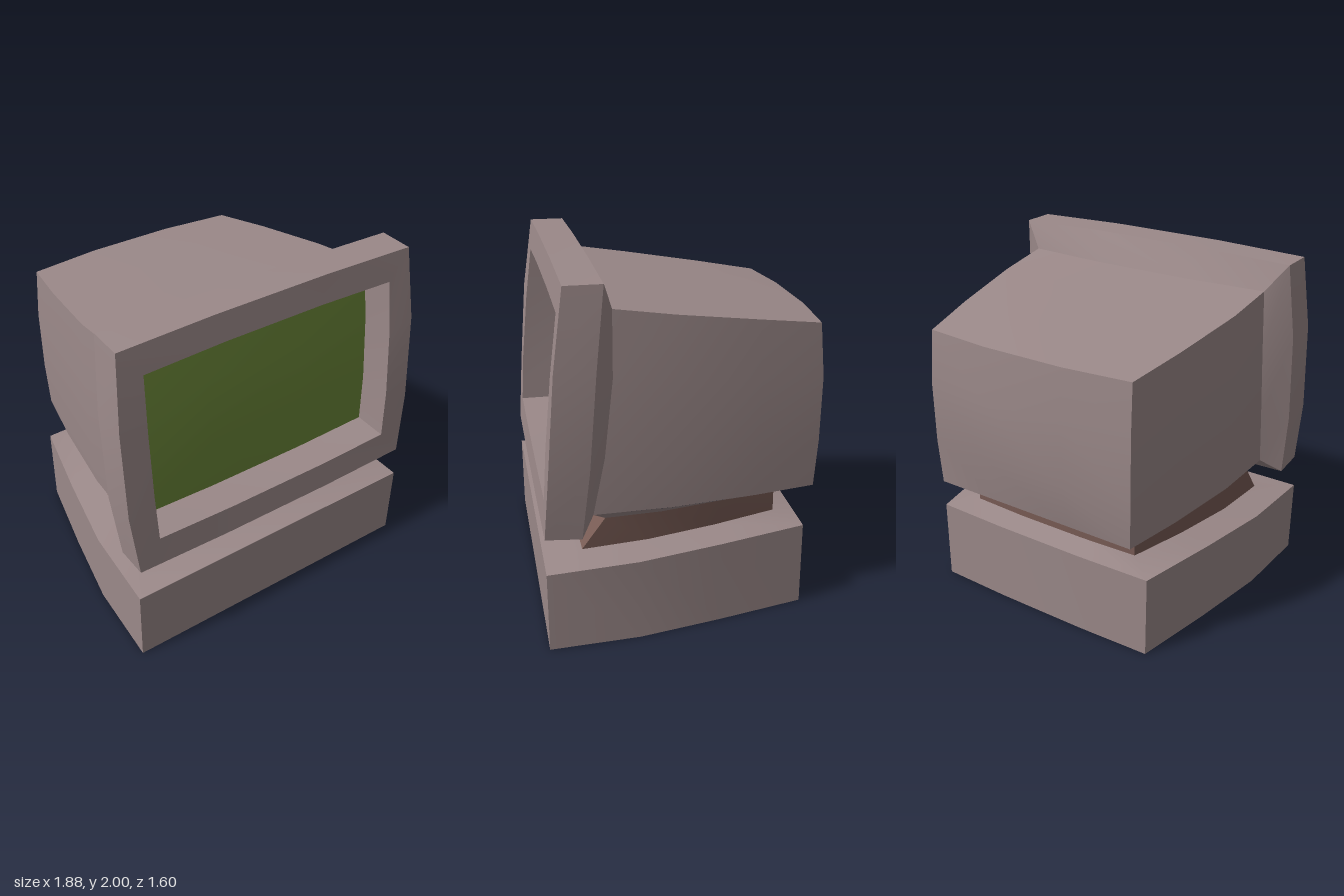
import * as THREE from 'three';
import { toCreasedNormals } from 'three/addons/utils/BufferGeometryUtils.js';

const U = [-1, -0.39, 0.39, 1]; // column positions across a section
const V = [0, 0.29, 0.68, 1];   // row positions up a section
// section border, counter-clockwise from the front: [column, row]
const BORDER = [[0, 0], [1, 0], [2, 0], [3, 0], [3, 1], [3, 2], [3, 3], [2, 3], [1, 3], [0, 3], [0, 2], [0, 1]];

// One barrel-shaped upright section as a 4 x 4 grid of points.
// z lists depth per row from bottom to top; bx, by, bz bulge the middles.
function section({ x, y0, y1, z, bx = 0, by = 0, bz = 0 }) {
  const mid = k => k === 1 || k === 2;
  return (i, j) => new THREE.Vector3(
    U[i] * (x + (mid(j) ? bx : 0)),
    y0 + (y1 - y0) * V[j] + (mid(i) && !mid(j) ? (j ? by : -by) : 0),
    z[j] + (mid(i) && j > 0 ? bz : 0));
}
const ring = s => BORDER.map(([i, j]) => s(i, j));

// One flat section seen from above: half widths and depths from front to back.
function planRing(xs, zs, yFront, yBack, bulge = 0) {
  const y = z => yFront + (yBack - yFront) * (zs[0] - z) / (zs[0] - zs[3]);
  const right = xs.map((x, k) => new THREE.Vector3(x, y(zs[k]), zs[k]));
  const left = right.map(p => new THREE.Vector3(-p.x, p.y, p.z)).reverse();
  const back = [1, -1].map(s => new THREE.Vector3(s * xs[3] * 0.39, yBack, zs[3] - bulge));
  return [...right, ...back, ...left];
}

// Triangles joining rings of equal length.
function loft(rings) {
  const tris = [];
  for (let r = 0; r + 1 < rings.length; r++) {
    const a = rings[r], b = rings[r + 1];
    for (let k = 0; k < a.length; k++) {
      const n = (k + 1) % a.length;
      tris.push(a[k], b[k], b[n], a[k], b[n], a[n]);
    }
  }
  return tris;
}

// Triangles covering a whole section.
function panel(s, facingBack = false) {
  const tris = [];
  for (let i = 0; i < 3; i++) for (let j = 0; j < 3; j++) {
    const a = s(i, j), b = s(i + 1, j), c = s(i + 1, j + 1), d = s(i, j + 1);
    tris.push(...(facingBack ? [a, c, b, a, d, c] : [a, b, c, a, c, d]));
  }
  return tris;
}

// Downward-facing lid on a flat ring.
function bottomLid(pts) {
  const c = new THREE.Vector3(0, pts[0].y, 0);
  return pts.flatMap((p, k) => [c, pts[(k + 1) % pts.length], p]);
}

function mesh(name, tris, material) {
  const geo = new THREE.BufferGeometry().setFromPoints(tris);
  const m = new THREE.Mesh(toCreasedNormals(geo, 0.35), material);
  m.name = name;
  return m;
}

function mat(name, color) {
  const m = new THREE.MeshStandardMaterial({ color });
  m.name = name;
  return m;
}

export function createModel() {
  const casing = mat('mauve casing', 0x9b8989);
  const brown = mat('brown neck', 0x795c55);
  const green = mat('green screen', 0x6b8638);
  const group = new THREE.Group();
  group.name = 'desktopComputer';

  // Monitor sections, from the screen forward to the bezel, then to the back
  const opening = { x: 0.773, y0: 0.822, y1: 1.822, bx: 0.012, by: 0.015, z: [0.785, 0.766, 0.727, 0.685] };
  const glass = section({ ...opening, z: opening.z.map(z => z - 0.2), bz: 0.01 });
  const lip = section(opening);
  const front = section({ x: 0.905, y0: 0.655, y1: 1.985, bx: 0.037, by: 0.015, z: [0.80, 0.77, 0.726, 0.665] });
  const rim = section({ x: 0.905, y0: 0.64, y1: 1.985, bx: 0.037, by: 0.013, z: [0.605, 0.56, 0.515, 0.465] });
  const neckline = section({ x: 0.79, y0: 0.715, y1: 1.83, bx: 0.015, z: [0.53, 0.465, 0.415, 0.41], bz: -0.035 });
  const shell1 = section({ x: 0.78, y0: 0.712, y1: 1.78, bx: 0.015, z: [0.1, 0.09, 0.08, 0.08], bz: -0.035 });
  const shell2 = section({ x: 0.72, y0: 0.708, y1: 1.712, bx: 0.013, z: [-0.38, -0.39, -0.39, -0.38], bz: -0.04 });
  const back = section({ x: 0.655, y0: 0.705, y1: 1.657, bx: 0.01, z: [-0.74, -0.755, -0.76, -0.735], bz: -0.04 });

  group.add(
    mesh('screen', panel(glass), green),
    mesh('bezel', loft([glass, lip, front, rim, neckline].map(ring)), casing),
    mesh('monitorShell', [...loft([neckline, shell1, shell2, back].map(ring)), ...panel(back, true)], casing));

  // Swivel neck and the chamfers above and below it
  const shellBottom = planRing([0.79, 0.78, 0.72, 0.655], [0.53, 0.1, -0.38, -0.74], 0.715, 0.705);
  const neckTop = planRing([0.74, 0.72, 0.65, 0.56], [0.46, 0.15, -0.2, -0.54], 0.665, 0.655, 0.015);
  const neckBottom = planRing([0.74, 0.72, 0.65, 0.56], [0.59, 0.22, -0.17, -0.54], 0.49, 0.522, 0.015);
  group.add(
    mesh('monitorUnderside', loft([shellBottom, neckTop]), casing),
    mesh('neck', loft([neckTop, neckBottom]), brown));

  // Tapered base unit
  const baseX = [0.92, 0.90, 0.82, 0.72], baseZ = [0.80, 0.30, -0.17, -0.67];
  const baseTop = planRing(baseX, baseZ, 0.455, 0.49, 0.013);
  const baseBottom = planRing(baseX, baseZ, 0, 0, 0.013);
  group.add(mesh('base', [...loft([neckBottom, baseTop, baseBottom]), ...bottomLid(baseBottom)], casing));

  return group;
}
